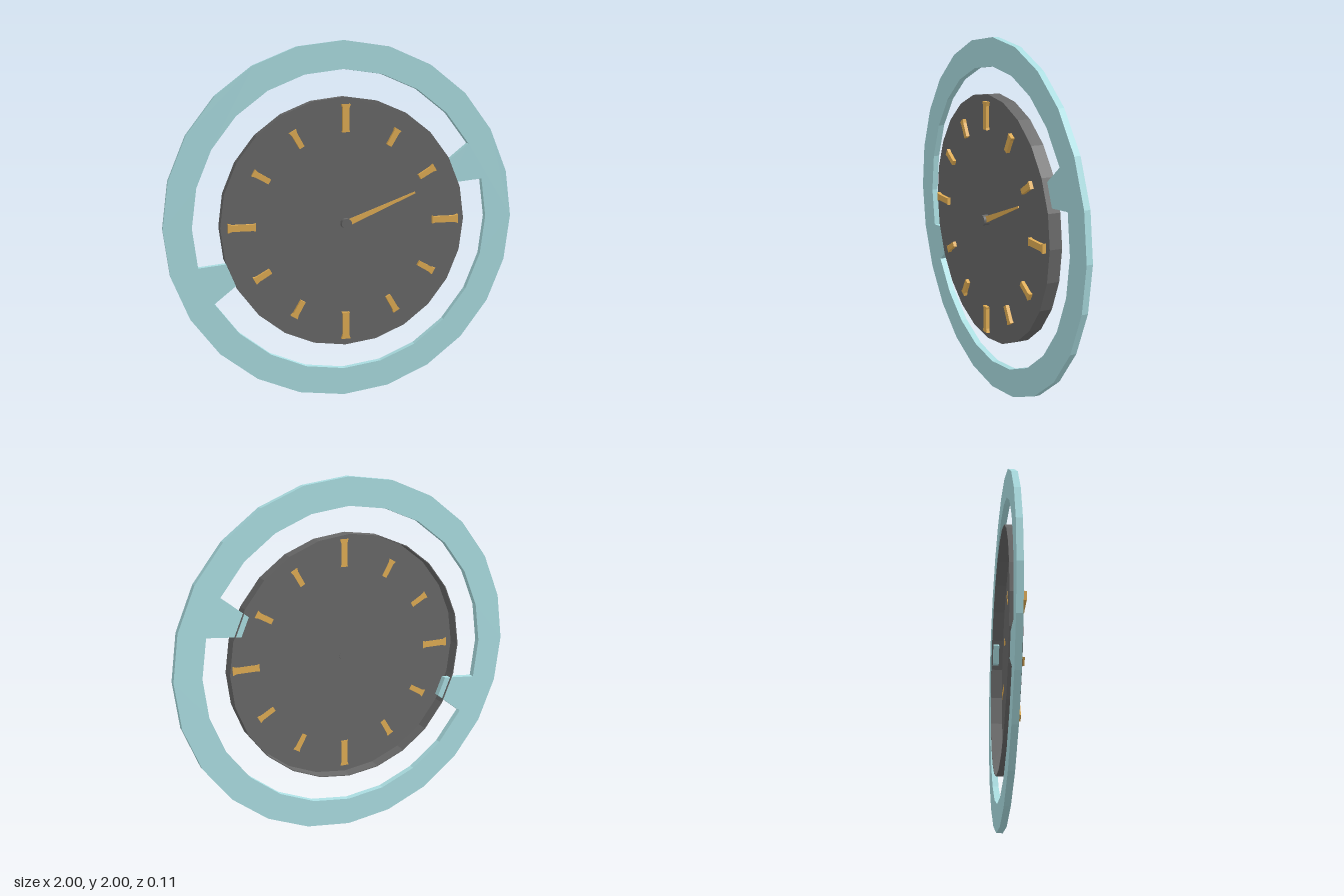
import * as THREE from 'three';

const SIDES = 24;
const mat = (name, color) => {
  const m = new THREE.MeshStandardMaterial({ color });
  m.name = name;
  return m;
};

// Point at radius r and angle in degrees from +x
const polar = (r, deg) => {
  const a = THREE.MathUtils.degToRad(deg);
  return new THREE.Vector2(r * Math.cos(a), r * Math.sin(a));
};
const ngon = (r) => Array.from({ length: SIDES }, (_, i) => polar(r, (i * 360) / SIDES));
const ringShape = (outer, inner) => {
  const s = new THREE.Shape(ngon(outer));
  s.holes.push(new THREE.Path(ngon(inner).reverse()));
  return s;
};

// Outline symmetric about the x axis from [x, halfWidth] pairs
const bar = (pairs) => new THREE.Shape([
  ...pairs.map(([x, w]) => new THREE.Vector2(x, -w)),
  ...pairs.map(([x, w]) => new THREE.Vector2(x, w)).reverse(),
]);

// Flat plate with an outline in xy, from z0 to z1
function plate(name, shape, z0, z1, material) {
  const geo = new THREE.ExtrudeGeometry(shape, { depth: z1 - z0, bevelEnabled: false });
  geo.translate(0, 0, z0);
  const mesh = new THREE.Mesh(geo, material);
  mesh.name = name;
  return mesh;
}

export function createModel() {
  const teal = mat('teal', 0xacdfe3);
  const grey = mat('dark grey', 0x696969);
  const gold = mat('gold', 0xe2ae54);

  const model = new THREE.Group();
  model.name = 'clock';
  const clock = new THREE.Group();
  clock.name = 'clockBody';
  clock.position.y = 1;
  model.add(clock);

  // Outer ring
  clock.add(plate('outerRing', ringShape(1, 0.845), -0.045, -0.01, teal));

  // Two tapered tabs that pass through the dial rim
  for (const turn of [0, Math.PI]) {
    const tab = new THREE.Shape([
      polar(0.655, 17.8), polar(0.845, 15), polar(0.845, 30), polar(0.655, 27.6),
    ]);
    const mesh = plate('ringTab', tab, -0.045, -0.01, teal);
    mesh.rotation.z = turn;
    clock.add(mesh);
  }

  // Dial: a shallow dish, open at the back
  clock.add(plate('dialFace', new THREE.Shape(ngon(0.697)), 0.015, 0.018, grey));
  clock.add(plate('dialRim', ringShape(0.697, 0.692), -0.053, 0.015, grey));

  // Hour marks pass through the dial face and flare at the outer end
  const quarter = bar([[0.505, 0.022], [0.518, 0.018], [0.635, 0.018], [0.658, 0.026]]);
  const hour = bar([[0.492, 0.015], [0.575, 0.016], [0.595, 0.022]]);
  for (let i = 0; i < 12; i++) {
    const big = i % 3 === 0;
    const mark = plate(big ? 'quarterMark' : 'hourMark', big ? quarter : hour, 0.0135, 0.038, gold);
    mark.rotation.z = (i * Math.PI) / 6;
    clock.add(mark);
  }

  // Tapered hand
  const hand = plate('hand', bar([[0, 0.018], [0.43, 0.005]]), 0.034, 0.04, gold);
  hand.rotation.z = Math.atan2(0.16, 0.4);
  clock.add(hand);

  // Hub
  const hub = new THREE.Mesh(new THREE.CylinderGeometry(0.029, 0.029, 0.04, 24), grey);
  hub.name = 'hub';
  hub.rotation.x = Math.PI / 2;
  hub.position.z = 0.034;
  clock.add(hub);

  return model;
}
